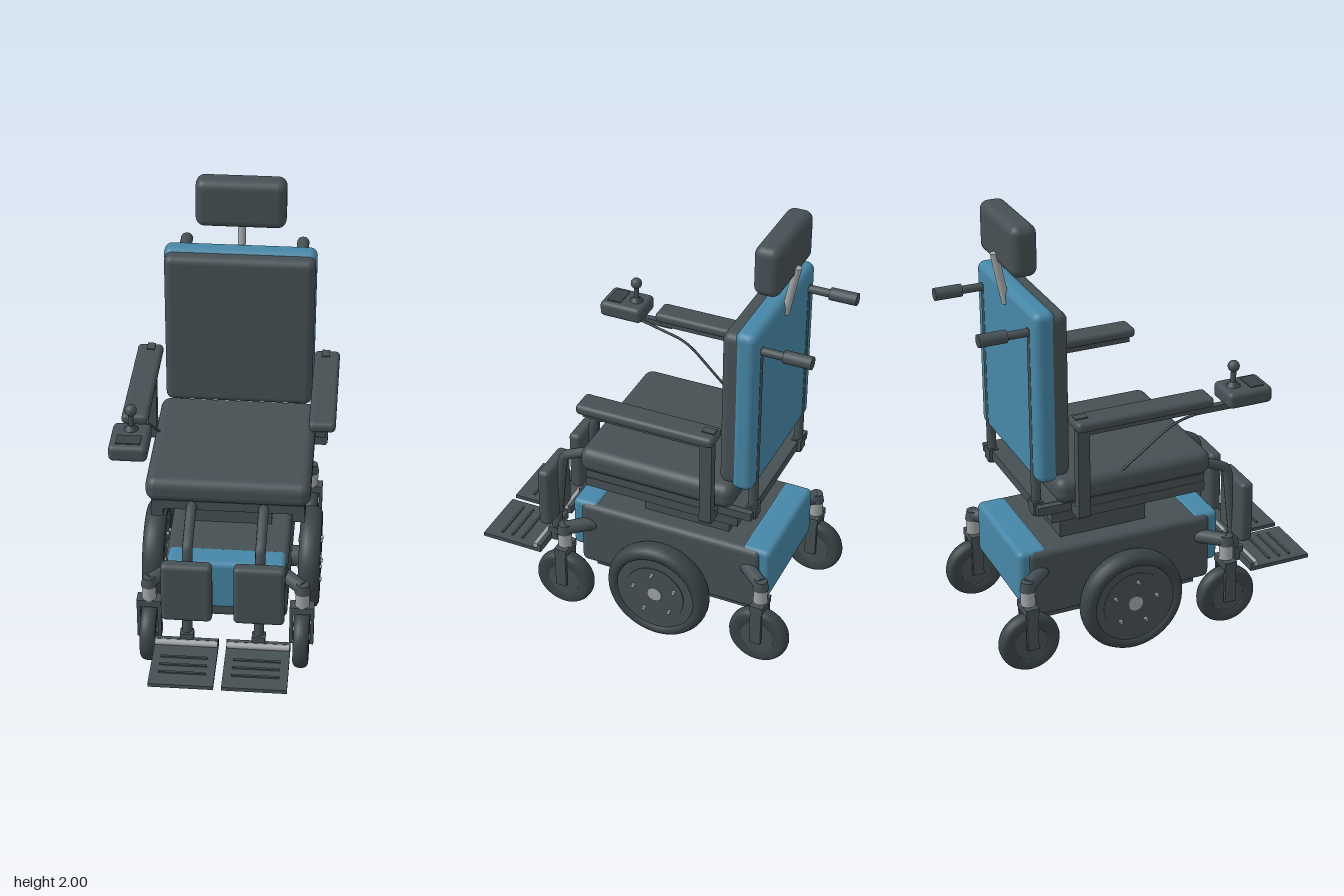
import * as THREE from 'three';
import { RoundedBoxGeometry } from 'three/addons/geometries/RoundedBoxGeometry.js';

const material = (name, color) => {
  const m = new THREE.MeshStandardMaterial({ color });
  m.name = name;
  return m;
};

export function createModel() {
  const dark = material('charcoal', 0x465054);
  const tyre = material('rubber', 0x3a4346);
  const blue = material('blue panels', 0x4686a6);
  const silver = material('silver metal', 0xa2a6a8);

  const model = new THREE.Group();
  model.name = 'powerWheelchair';
  model.position.x = 0.01;

  const add = (name, geometry, mat, x = 0, y = 0, z = 0, parent = model) => {
    const mesh = new THREE.Mesh(geometry, mat);
    mesh.name = name;
    mesh.position.set(x, y, z);
    parent.add(mesh);
    return mesh;
  };
  // Boxes are given by centre x, width, then y and z ranges
  const box = (name, mat, x, w, y0, y1, z0, z1, r = 0) => add(name,
    r ? new RoundedBoxGeometry(w, y1 - y0, z1 - z0, 4, r) : new THREE.BoxGeometry(w, y1 - y0, z1 - z0),
    mat, x, (y0 + y1) / 2, (z0 + z1) / 2);
  // Straight round bar between two points
  const bar = (name, mat, a, b, r, r2 = r) => {
    const p = new THREE.Vector3(...a), q = new THREE.Vector3(...b);
    const mesh = add(name, new THREE.CylinderGeometry(r2, r, p.distanceTo(q), 20), mat);
    mesh.position.copy(p).add(q).multiplyScalar(0.5);
    mesh.quaternion.setFromUnitVectors(new THREE.Vector3(0, 1, 0), q.sub(p).normalize());
    return mesh;
  };
  // Bent round tube with small rounded corners
  const tube = (name, mat, pts, r) => {
    const v = pts.map((p) => new THREE.Vector3(...p));
    const path = new THREE.CurvePath();
    let last = v[0];
    for (let i = 1; i < v.length - 1; i++) {
      const a = v[i].clone().lerp(v[i - 1], 0.25), b = v[i].clone().lerp(v[i + 1], 0.25);
      path.add(new THREE.LineCurve3(last, a));
      path.add(new THREE.QuadraticBezierCurve3(a, v[i], b));
      last = b;
    }
    path.add(new THREE.LineCurve3(last, v[v.length - 1]));
    return add(name, new THREE.TubeGeometry(path, 40, r, 12), mat);
  };
  // Wheel of revolution about the x axis: tyre plus stepped hub disc
  const wheel = (name, r, w, hubR, x, y, z) => {
    const g = new THREE.Group();
    g.name = name;
    g.position.set(x, y, z);
    g.rotation.z = -Math.PI / 2;
    model.add(g);
    const h = w / 2, k = w * 0.3;
    const half = [[hubR, h * 0.6], [hubR + 0.004, h * 0.95], [r - k, h], [r - k * 0.4, h * 0.8], [r - k * 0.08, h * 0.4]];
    const profile = [...half.map(([a, b]) => [a, -b]), [r, 0], ...half.reverse()];
    add('tyre', new THREE.LatheGeometry(profile.map((p) => new THREE.Vector2(...p)), 48), tyre, 0, 0, 0, g);
    add('hubDisc', new THREE.CylinderGeometry(hubR + 0.002, hubR + 0.002, w * 0.82, 48), dark, 0, 0, 0, g);
    return g;
  };

  // Powered base
  box('baseBody', dark, 0, 0.55, 0.2, 0.527, -0.595, 0.285, 0.03);
  box('baseTray', dark, 0, 0.48, 0.172, 0.21, -0.53, 0.22);
  box('frontCover', blue, 0, 0.53, 0.28, 0.532, 0.2, 0.327, 0.025);
  box('rearCover', blue, 0, 0.53, 0.28, 0.532, -0.637, -0.5, 0.025);
  box('seatPedestal', dark, 0, 0.37, 0.5, 0.72, -0.41, 0);

  // Seat
  box('seatPan', dark, 0, 0.62, 0.74, 0.785, -0.56, 0.215);
  box('seatCushion', dark, 0, 0.73, 0.782, 0.9, -0.487, 0.24, 0.045);

  // Back and headrest
  box('backShell', blue, 0, 0.69, 0.893, 1.672, -0.568, -0.47, 0.035);
  box('backCushion', dark, 0, 0.68, 0.91, 1.657, -0.52, -0.415, 0.035);
  box('headrest', dark, 0, 0.405, 1.775, 2, -0.602, -0.485, 0.04);
  bar('headrestStem', silver, [0, 1.6, -0.562], [0, 1.83, -0.607], 0.018);

  for (const s of [-1, 1]) {
    // Drive wheel with hub cap and five bolts
    const drive = wheel('driveWheel', 0.243, 0.1, 0.185, s * 0.362, 0.245, -0.147);
    add('hubRing', new THREE.CylinderGeometry(0.14, 0.15, 0.09, 48), dark, 0, 0, 0, drive);
    add('hubCap', new THREE.CylinderGeometry(0.035, 0.035, 0.1, 24), silver, 0, 0, 0, drive);
    for (let i = 0; i < 5; i++) {
      const a = i * Math.PI * 0.4 + 0.5;
      add('wheelBolt', new THREE.CylinderGeometry(0.009, 0.009, 0.116, 8), silver, Math.cos(a) * 0.105, 0, Math.sin(a) * 0.105, drive);
    }
    bar('driveAxle', dark, [s * 0.24, 0.245, -0.147], [s * 0.34, 0.245, -0.147], 0.05);

    // Front and rear casters with forks and swing arms
    for (const [z, zin] of [[0.33, 0.2], [-0.63, -0.5]]) {
      const x = s * 0.345;
      const caster = wheel('caster', 0.14, 0.07, 0.075, x, 0.143, z);
      add('casterAxle', new THREE.CylinderGeometry(0.015, 0.015, 0.105, 16), dark, 0, 0, 0, caster);
      for (const side of [-1, 1]) box('forkBlade', dark, x + side * 0.047, 0.016, 0.125, 0.325, z - 0.026, z + 0.026);
      box('forkCrown', dark, x, 0.11, 0.295, 0.33, z - 0.03, z + 0.03);
      bar('casterBarrel', silver, [x, 0.328, z], [x, 0.402, z], 0.032);
      bar('casterCap', dark, [x, 0.4, z], [x, 0.445, z], 0.036, 0.028);
      bar('casterArm', dark, [x, 0.42, z], [s * 0.23, 0.42, zin], 0.032);
    }

    // Seat rail, armrest and its post
    box('seatRail', dark, s * 0.315, 0.055, 0.7, 0.745, -0.51, 0.215);
    box('seatUpperRail', dark, s * 0.325, 0.03, 0.745, 0.783, -0.57, 0.215);
    box('armPost', dark, s * 0.4, 0.042, 0.745, 1.165, -0.417, -0.363);
    box('armBracket', dark, s * 0.365, 0.1, 0.735, 0.775, -0.417, -0.363);
    box('armRail', dark, s * 0.4, 0.045, 1.13, 1.165, -0.417, 0.18);
    box('armPad', dark, s * 0.405, 0.116, 1.16, 1.208, -0.435, 0.198, 0.02);
    box('armPostCap', dark, s * 0.4, 0.036, 1.2, 1.213, -0.425, -0.37);

    // Back cane and push handle
    bar('backCane', dark, [s * 0.27, 0.72, -0.552], [s * 0.27, 1.59, -0.552], 0.021);
    bar('handleTube', dark, [s * 0.27, 1.572, -0.55], [s * 0.27, 1.572, -0.68], 0.018);
    bar('handleGrip', dark, [s * 0.27, 1.572, -0.665], [s * 0.27, 1.572, -0.787], 0.028);
    box('caneBracket', dark, s * 0.27, 0.06, 0.73, 0.79, -0.575, -0.53);

    // Leg support, calf pad and footplate
    const lx = s * 0.16;
    tube('legTube', dark, [[lx, 0.755, 0.17], [lx, 0.765, 0.23], [lx, 0.685, 0.415], [lx, 0.64, 0.427], [lx, 0.21, 0.474]], 0.023);
    box('calfPad', dark, lx, 0.226, 0.335, 0.637, 0.443, 0.505, 0.022);
    box('footplate', dark, lx, 0.285, 0.195, 0.213, 0.485, 0.785);
    bar('heelBar', silver, [lx - 0.14, 0.225, 0.513], [lx + 0.14, 0.225, 0.513], 0.014);
    box('heelStop', dark, lx, 0.285, 0.195, 0.235, 0.484, 0.502);
    box('footHinge', dark, lx, 0.06, 0.195, 0.265, 0.455, 0.5);
    for (const z of [0.6, 0.653, 0.705]) box('footplateRib', dark, lx, 0.21, 0.212, 0.22, z - 0.005, z + 0.005);
  }

  // Joystick control on the right arm
  const jx = -0.403;
  box('controlMount', dark, jx, 0.03, 1.118, 1.145, 0.13, 0.38);
  box('controlBox', dark, jx, 0.165, 1.143, 1.218, 0.257, 0.465, 0.022);
  box('controlDisplay', tyre, jx, 0.105, 1.215, 1.222, 0.37, 0.435);
  bar('joystickBoot', tyre, [jx, 1.215, 0.313], [jx, 1.238, 0.313], 0.034, 0.014);
  bar('joystickStem', dark, [jx, 1.22, 0.313], [jx, 1.3, 0.313], 0.012);
  add('joystickKnob', new THREE.SphereGeometry(0.026, 24, 16), dark, jx, 1.31, 0.313);
  tube('controlCable', tyre, [[jx + 0.02, 1.135, 0.3], [jx + 0.03, 1.08, 0.045], [-0.345, 0.89, -0.18]], 0.006);

  return model;
}
